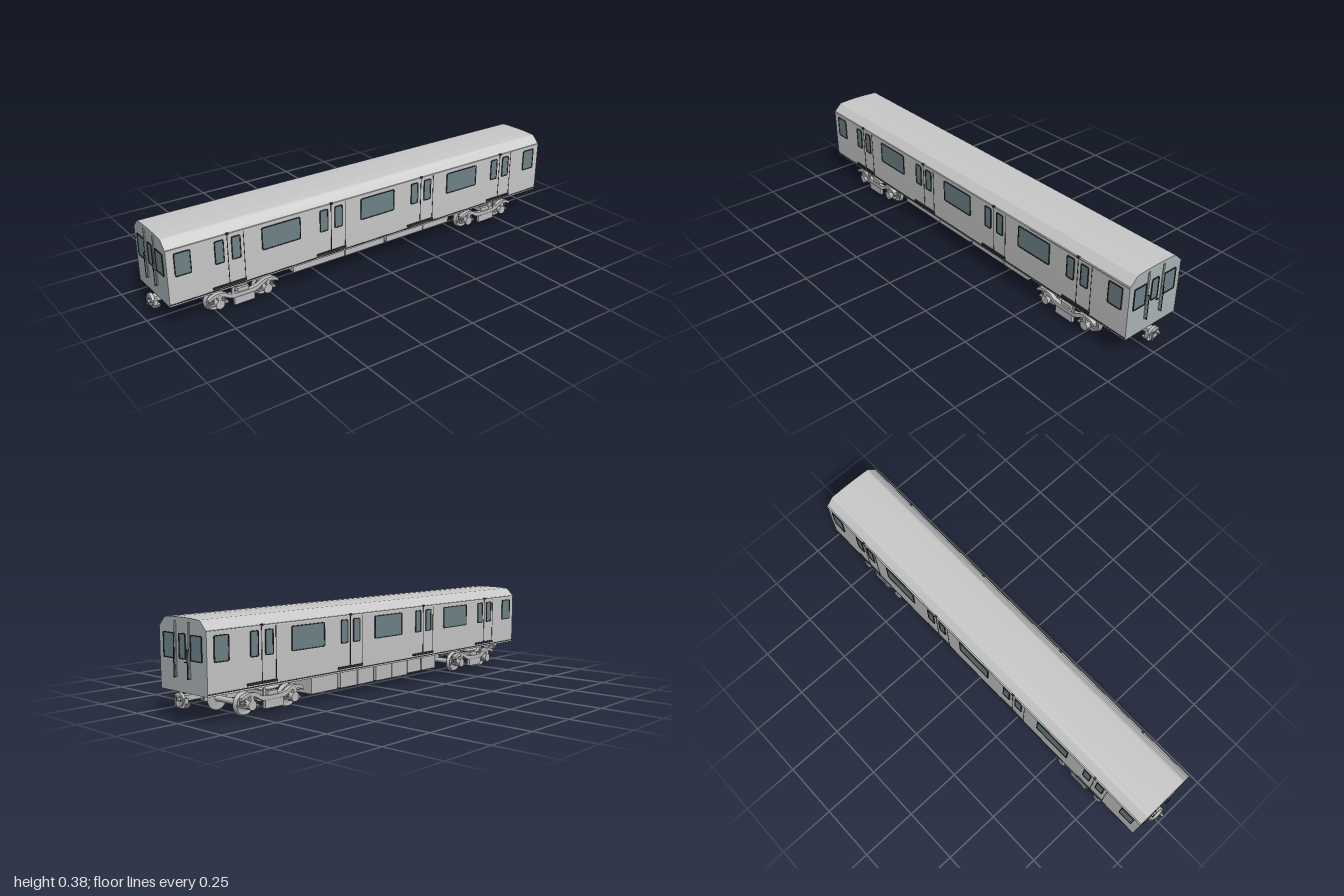
import * as THREE from 'three';

const mat = (name, color, extra) => Object.assign(new THREE.MeshStandardMaterial({ color, ...extra }), { name });

export function createModel() {
  const shell = mat('shell grey', 0xc9c9c9);
  const endPaint = mat('end panel grey', 0xabb4b7);
  const glass = mat('window glass', 0x6f848a);
  const rubber = mat('dark trim', 0x2e3032);
  const metal = mat('running gear grey', 0xbebebe);

  const add = (parent, name, geo, material, x = 0, y = 0, z = 0) => {
    const m = new THREE.Mesh(geo, material);
    m.name = name;
    m.position.set(x, y, z);
    parent.add(m);
    return m;
  };
  const group = (parent, name) => {
    const g = new THREE.Group();
    g.name = name;
    parent.add(g);
    return g;
  };
  const box = (parent, name, m, w, h, d, x, y, z) => add(parent, name, new THREE.BoxGeometry(w, h, d), m, x, y, z);
  // cylinder along a chosen axis
  const rod = (parent, name, m, axis, r, len, x, y, z, seg = 16) => {
    const g = new THREE.CylinderGeometry(r, r, len, seg);
    if (axis === 'x') g.rotateZ(Math.PI / 2);
    if (axis === 'z') g.rotateX(Math.PI / 2);
    return add(parent, name, g, m, x, y, z);
  };
  const extrude = (shape, depth, curveSegments = 4) =>
    new THREE.ExtrudeGeometry(shape, { depth, bevelEnabled: false, curveSegments });
  const roundRect = (w, h, r) => {
    const s = new THREE.Shape(), a = w / 2, b = h / 2;
    s.moveTo(-a + r, -b);
    s.lineTo(a - r, -b); s.quadraticCurveTo(a, -b, a, -b + r);
    s.lineTo(a, b - r); s.quadraticCurveTo(a, b, a - r, b);
    s.lineTo(-a + r, b); s.quadraticCurveTo(-a, b, -a, b - r);
    s.lineTo(-a, -b + r); s.quadraticCurveTo(-a, -b, -a + r, -b);
    return s;
  };
  // framed pane facing local +z
  const pane = (parent, name, w, h, x, y, r = 0.007, border = 0.004) => {
    const frame = roundRect(w, h, r);
    frame.holes.push(roundRect(w - border * 2, h - border * 2, r * 0.6));
    add(parent, name + 'Frame', extrude(frame, 0.004), rubber, x, y, -0.0005);
    add(parent, name + 'Glass', extrude(roundRect(w - border, h - border, r * 0.8), 0.002), glass, x, y, -0.0005);
  };

  const model = new THREE.Group();
  model.name = 'railcar';
  const car = group(model, 'car');
  car.position.z = -0.006;
  const L = 1.924, W = 0.1375;

  // Body: one cross-section run along the car, ends in their own colour
  const half = [[0.1365, 0.108], [W, 0.18], [W, 0.335], [0.134, 0.344], [0.104, 0.374], [0.096, 0.3765], [0.05, 0.379], [0, 0.38]];
  const section = new THREE.Shape(
    [...half, ...half.slice(0, -1).reverse().map(([x, y]) => [-x, y])].map(p => new THREE.Vector2(...p)));
  add(car, 'body', extrude(section, L), [endPaint, shell], 0, 0, -L / 2);

  // Sides: local x runs along the car, local z points outward
  for (const s of [1, -1]) {
    const side = group(car, s > 0 ? 'leftSide' : 'rightSide');
    side.position.x = s * W;
    side.rotation.y = s * Math.PI / 2;
    for (const x of [-0.474, 0, 0.474]) pane(side, 'window', 0.178, 0.097, x, 0.275);
    for (const x of [-0.898, 0.898]) pane(side, 'endWindow', 0.068, 0.097, x, 0.275);
    for (const x of [-0.711, -0.237, 0.237, 0.711]) {
      for (const d of [-0.036, 0.036]) pane(side, 'doorWindow', 0.04, 0.097, x + d, 0.275);
      box(side, 'doorSeam', rubber, 0.003, 0.212, 0.002, x, 0.235, 0);
      box(side, 'doorLamp', rubber, 0.012, 0.007, 0.008, x, 0.341, 0.001);
      box(side, 'doorEdge', rubber, 0.0025, 0.2, 0.002, x + 0.07, 0.235, 0);
      box(side, 'doorSill', rubber, 0.144, 0.009, 0.007, x, 0.128, 0.001);
    }
    box(side, 'gutter', shell, L, 0.005, 0.006, 0, 0.339, 0);
    box(side, 'lowerTrim', rubber, L, 0.004, 0.002, 0, 0.116, 0);
  }

  // Ends: windows, rails, handles and coupler, the same at both ends
  for (const s of [1, -1]) {
    const end = group(car, s > 0 ? 'frontEnd' : 'backEnd');
    end.position.z = s * L / 2;
    if (s < 0) end.rotation.y = Math.PI;
    for (const x of [-0.08, 0.08]) pane(end, 'endWindow', 0.066, 0.094, x, 0.274, 0.005);
    pane(end, 'endDoorWindow', 0.039, 0.094, 0, 0.276, 0.008);
    for (const x of [-0.04, 0.04]) {
      box(end, 'doorPost', endPaint, 0.008, 0.206, 0.006, x, 0.263, 0.001);
      rod(end, 'grabRail', rubber, 'y', 0.0018, 0.11, x, 0.215, 0.011, 8);
      for (const y of [0.163, 0.267]) rod(end, 'railMount', rubber, 'z', 0.0018, 0.012, x, y, 0.006, 6);
    }
    box(end, 'doorHandle', rubber, 0.013, 0.003, 0.006, 0.02, 0.22, 0.002);

    const coupler = group(end, 'coupler');
    box(coupler, 'drawbar', metal, 0.03, 0.02, 0.12, 0, 0.09, -0.05);
    rod(coupler, 'couplerFace', metal, 'z', 0.026, 0.012, 0, 0.087, 0.018, 20);
    box(coupler, 'couplerPlate', metal, 0.064, 0.022, 0.016, 0, 0.082, 0.012);
    for (const x of [-0.012, 0.012]) {
      const ring = new THREE.TorusGeometry(0.008, 0.0022, 8, 16);
      add(coupler, 'couplerRing', ring, metal, x, 0.09, 0.026);
      rod(coupler, 'couplerSocket', rubber, 'z', 0.004, 0.004, x, 0.09, 0.024, 10);
    }
    rod(coupler, 'couplerPin', metal, 'z', 0.005, 0.016, 0.012, 0.09, 0.03, 10);
    const tray = new THREE.Shape([[-0.036, 0.074], [-0.022, 0.055], [0.022, 0.055], [0.036, 0.074]].map(p => new THREE.Vector2(...p)));
    add(coupler, 'couplerTray', extrude(tray, 0.024), metal, 0, 0, -0.006);
    rod(coupler, 'hosePipe', metal, 'y', 0.003, 0.03, -0.014, 0.075, 0.028, 8);
    for (const x of [-0.045, 0.045]) box(coupler, 'hoseBracket', metal, 0.008, 0.035, 0.012, x, 0.092, -0.06);
  }

  // Underfloor equipment: shallow row on one side, deep boxes on the other
  const gear = group(car, 'underfloorEquipment');
  const hang = (name, x0, x1, z0, z1, y0) =>
    box(gear, name, metal, x1 - x0, 0.112 - y0, z1 - z0, (x0 + x1) / 2, (y0 + 0.112) / 2, (z0 + z1) / 2);
  for (const [z0, z1] of [[0.156, 0.41], [-0.054, 0.152], [-0.272, -0.069], [-0.424, -0.276]])
    hang('equipmentCase', 0.045, 0.115, z0, z1, 0.07);
  for (const [z0, z1, y] of [[0.256, 0.356, 0.046], [0.156, 0.25, 0.046], [0.052, 0.152, 0.04], [-0.054, 0.046, 0.04], [-0.168, -0.069, 0.04], [-0.272, -0.174, 0.04]])
    hang('equipmentBox', -0.115, -0.035, z0, z1, y);
  hang('largeEquipmentBox', -0.1, 0.03, -0.424, -0.276, 0.035);

  // Bogies
  const wheelProfile = [[0.012, -0.006], [0.034, -0.004], [0.037, -0.007], [0.047, -0.007], [0.047, -0.004], [0.0435, -0.002], [0.0425, 0.008], [0.037, 0.008], [0.034, 0.003], [0.018, 0.004], [0.014, 0.01], [0, 0.01]]
    .map(p => new THREE.Vector2(...p));
  const wheelGeo = new THREE.LatheGeometry(wheelProfile, 28).rotateZ(-Math.PI / 2);
  wheelGeo.computeVertexNormals();
  const wheelMat = mat('wheel steel', 0xb0b0b0, { side: THREE.DoubleSide });

  // gooseneck side frame, drawn along the car then turned to stand in the yz plane
  const frameShape = new THREE.Shape();
  frameShape.moveTo(-0.155, 0.068);
  frameShape.lineTo(-0.155, 0.08);
  frameShape.bezierCurveTo(-0.13, 0.1, -0.09, 0.1, -0.07, 0.082);
  frameShape.quadraticCurveTo(-0.055, 0.072, 0, 0.072);
  frameShape.quadraticCurveTo(0.055, 0.072, 0.07, 0.082);
  frameShape.bezierCurveTo(0.09, 0.1, 0.13, 0.1, 0.155, 0.08);
  frameShape.lineTo(0.155, 0.068);
  frameShape.bezierCurveTo(0.13, 0.084, 0.1, 0.086, 0.075, 0.068);
  frameShape.quadraticCurveTo(0.055, 0.052, 0, 0.052);
  frameShape.quadraticCurveTo(-0.055, 0.052, -0.075, 0.068);
  frameShape.bezierCurveTo(-0.1, 0.086, -0.13, 0.084, -0.155, 0.068);
  const frameGeo = extrude(frameShape, 0.018, 8).translate(0, 0, -0.009).rotateY(Math.PI / 2);

  class Coil extends THREE.Curve {
    getPoint(t, v = new THREE.Vector3()) {
      const a = t * Math.PI * 8;
      return v.set(Math.cos(a) * 0.011, t * 0.034, Math.sin(a) * 0.011);
    }
  }
  const springGeo = new THREE.TubeGeometry(new Coil(), 64, 0.0025, 5);
  const cushionGeo = new THREE.SphereGeometry(1, 20, 10).scale(0.038, 0.012, 0.06);

  for (const s of [1, -1]) {
    const bogie = group(car, s > 0 ? 'frontBogie' : 'backBogie');
    bogie.position.z = s * 0.648;
    if (s < 0) bogie.rotation.y = Math.PI;
    box(bogie, 'bolster', metal, 0.25, 0.02, 0.05, 0, 0.078, 0);
    rod(bogie, 'centrePivot', metal, 'y', 0.025, 0.03, 0, 0.097, 0, 16);
    for (const z of [-0.107, 0.107]) {
      rod(bogie, 'axle', metal, 'x', 0.012, 0.23, 0, 0.047, z);
      for (const x of [-1, 1]) {
        const wheel = add(bogie, 'wheel', wheelGeo, wheelMat, x * 0.081, 0.047, z);
        if (x < 0) wheel.rotation.y = Math.PI;
        rod(bogie, 'axleBox', metal, 'x', 0.019, 0.034, x * 0.116, 0.047, z, 14);
        box(bogie, 'axleBoxGuide', metal, 0.016, 0.05, 0.016, x * 0.124, 0.061, z);
        for (const d of [-0.027, 0.027]) {
          add(bogie, 'spring', springGeo, metal, x * 0.107, 0.044, z + d);
          box(bogie, 'springSeat', metal, 0.03, 0.006, 0.028, x * 0.108, 0.042, z + d);
        }
      }
    }
    for (const x of [-1, 1]) {
      add(bogie, 'sideFrame', frameGeo, metal, x * 0.122, 0, 0);
      add(bogie, 'airCushion', cushionGeo, metal, x * 0.086, 0.097, 0);
      box(bogie, 'sideHanger', metal, 0.014, 0.032, 0.09, x * 0.126, 0.041, 0);
      box(bogie, 'stepBracket', metal, 0.006, 0.03, 0.012, x * 0.132, 0.09, 0.05);
    }
  }
  return model;
}
